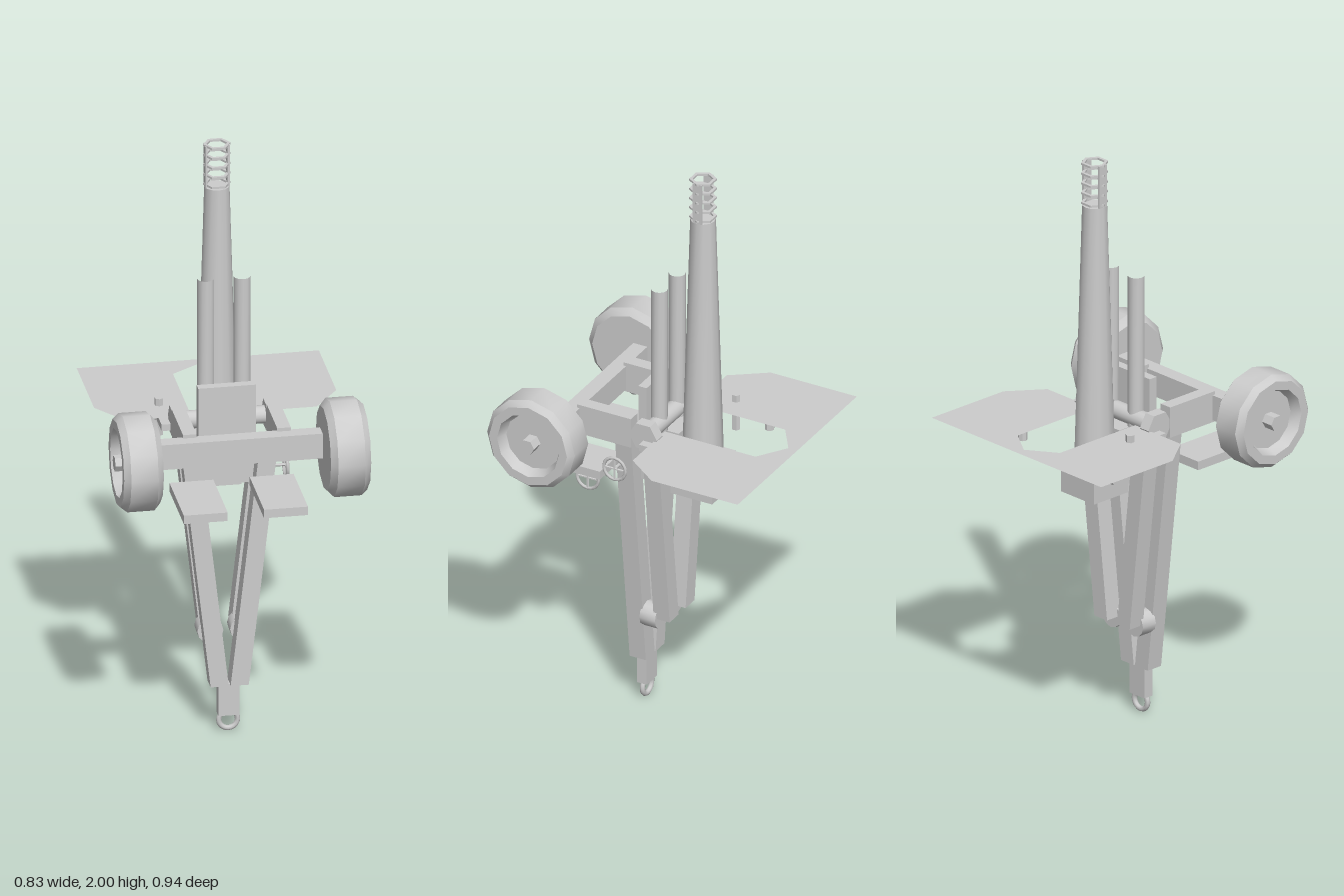
import * as THREE from 'three';
import { toCreasedNormals } from 'three/addons/utils/BufferGeometryUtils.js';

export function createModel() {
  const model = new THREE.Group();
  model.name = 'towedGun';
  const grey = new THREE.MeshStandardMaterial({ color: 0xcccccc });
  grey.name = 'grey';
  const thinGrey = grey.clone();
  thinGrey.side = THREE.DoubleSide;
  thinGrey.name = 'grey sheet';

  const add = (name, geometry, parent = model, material = grey) => {
    const mesh = new THREE.Mesh(geometry, material);
    mesh.name = name;
    parent.add(mesh);
    return mesh;
  };
  // box given by its limits on each axis
  const box = (name, [x0, x1], [y0, y1], [z0, z1], parent) => {
    const g = new THREE.BoxGeometry(x1 - x0, y1 - y0, z1 - z0);
    g.translate((x0 + x1) / 2, (y0 + y1) / 2, (z0 + z1) / 2);
    return add(name, g, parent);
  };
  // cylinder centred on a point, along a chosen axis
  const rod = (name, axis, r0, r1, length, [x, y, z], sides = 12, open = false, parent) => {
    let g = new THREE.CylinderGeometry(r1, r0, length, sides, 1, open);
    if (axis === 'x') g.rotateZ(-Math.PI / 2);
    if (axis === 'z') g.rotateX(Math.PI / 2);
    g = toCreasedNormals(g, sides > 6 ? 0.7 : 0.3);
    g.translate(x, y, z);
    return add(name, g, parent);
  };
  const outline = (points) => new THREE.Shape(points.map(([x, y]) => new THREE.Vector2(x, y)));

  // barrel and breech
  rod('barrel', 'y', 0.068, 0.042, 0.89, [0, 1.405, -0.12]);
  box('breechBlock', [-0.078, 0.078], [0.835, 0.96], [-0.197, -0.043]);
  rod('breechHandle', 'x', 0.011, 0.011, 0.03, [-0.088, 0.9, -0.124], 8);

  // muzzle brake: stacked hexagonal rings held by two side strips
  const hexagon = (r) => Array.from({ length: 6 }, (_, i) =>
    [r * Math.cos(i * Math.PI / 3), r * Math.sin(i * Math.PI / 3)]);
  const ringShape = outline(hexagon(0.045));
  ringShape.holes.push(outline(hexagon(0.034)));
  for (let i = 0; i < 5; i++) {
    const g = new THREE.ExtrudeGeometry(ringShape, { depth: 0.007, bevelEnabled: false });
    g.rotateX(-Math.PI / 2);
    g.translate(0, 1.855 + i * 0.0345, -0.12);
    add('muzzleRing', g);
  }
  for (const s of [-1, 1]) {
    const strip = box('muzzleStrip', [-0.004, 0.004], [1.85, 1.998], [-0.137, -0.103]);
    strip.position.x = s * 0.037;
  }

  // cradle and recoil tubes
  box('cradlePlate', [-0.095, 0.095], [0.87, 1.215], [0.037, 0.068]);
  box('cradleBlock', [-0.054, 0.054], [0.85, 1.05], [-0.06, 0.037]);
  rod('trunnionBar', 'x', 0.03, 0.03, 0.28, [0, 1.08, 0.006], 16);
  for (const s of [-1, 1]) {
    rod('recoilTube', 'y', 0.028, 0.028, 0.66, [s * 0.06, 1.25, 0.009], 12, true);
    rod('trunnionHub', 'x', 0.052, 0.052, 0.04, [s * 0.155, 1.08, 0.007], 6);
  }

  // axle, arms and seats
  box('axle', [-0.28, 0.28], [1.037, 1.125], [0.24, 0.292]);
  for (const s of [-1, 1]) {
    const side = (a, b) => (s > 0 ? [a, b] : [-b, -a]);
    box('axleArm', side(0.133, 0.178), [1.03, 1.137], [0.05, 0.25]);
    box('seat', side(0.06, 0.205), [0.895, 0.925], [0.15, 0.415]);
  }

  // wheels
  const tyreProfile = [
    [0, -0.066], [0.14, -0.066], [0.163, -0.045], [0.163, 0.045],
    [0.145, 0.066], [0.115, 0.066], [0.1, 0.03], [0, 0.03],
  ].map(([r, y]) => new THREE.Vector2(r, y));
  for (const s of [-1, 1]) {
    const wheel = new THREE.Group();
    wheel.name = s > 0 ? 'leftWheel' : 'rightWheel';
    const g = new THREE.LatheGeometry(tyreProfile, 12);
    g.rotateZ(-Math.PI / 2);
    add('tyre', toCreasedNormals(g, 0.6), wheel);
    rod('wheelHub', 'x', 0.027, 0.027, 0.055, [0.046, 0, 0], 6, false, wheel);
    wheel.position.set(s * 0.342, 1.08, 0.305);
    if (s < 0) wheel.rotation.y = Math.PI;
    model.add(wheel);
  }

  // trail legs: two long front ones, two shorter rear ones, same splay
  const legX = (y) => 0.033 + (y - 0.17) * 0.114;
  const leg = (name, s, y0, y1, z0, z1) => {
    const w = 0.03;
    const shape = outline([
      [s * (legX(y0) - w), y0], [s * (legX(y0) + w), y0],
      [s * (legX(y1) + w), y1], [s * (legX(y1) - w), y1],
    ]);
    const g = new THREE.ExtrudeGeometry(shape, { depth: z1 - z0, bevelEnabled: false });
    g.translate(0, 0, z0);
    add(name, g);
  };
  for (const s of [-1, 1]) {
    leg('frontTrailLeg', s, 0.17, 1.027, 0.058, 0.118);
    leg('rearTrailLeg', s, 0.35, 0.995, -0.042, 0.017);
    rod('trailPivot', 'z', 0.043, 0.043, 0.058, [s * 0.054, 0.347, 0.034], 12);
  }

  // towing eye
  box('towBlock', [-0.035, 0.035], [0.06, 0.172], [0.07, 0.106]);
  const eye = add('towEye', new THREE.TorusGeometry(0.031, 0.009, 8, 20));
  eye.position.set(0, 0.04, 0.088);

  // shield lying flat, notched around the barrel
  const half = [[0.1, -0.37], [0.1, -0.033], [0.315, -0.033], [0.4, -0.15], [0.4, -0.47]];
  const shieldShape = outline([
    [0, 0.437], ...half.map(([x, z]) => [x, -z]),
    ...half.map(([x, z]) => [-x, -z]).reverse(),
  ]);
  const shieldGeometry = new THREE.ShapeGeometry(shieldShape);
  shieldGeometry.rotateX(-Math.PI / 2);
  shieldGeometry.translate(0, 1.075, 0);
  add('shield', shieldGeometry, model, thinGrey);
  for (const s of [-1, 1]) {
    const x = s * 0.19;
    box('shieldBar', [x - 0.015, x + 0.015], [1.045, 1.068], [-0.39, 0.005]);
    rod('shieldPost', 'y', 0.016, 0.016, 0.045, [x, 1.025, -0.262], 8);
  }
  rod('sight', 'y', 0.015, 0.015, 0.13, [-0.188, 1.035, -0.139], 6);

  // aiming handwheels on the left side
  for (const [y, z] of [[0.94, 0.105], [0.88, 0.205]]) {
    const hand = new THREE.Group();
    hand.name = 'handwheel';
    const rim = new THREE.TorusGeometry(0.04, 0.006, 6, 16);
    rim.rotateY(Math.PI / 2);
    add('handwheelRim', rim, hand);
    rod('spokeUpright', 'y', 0.004, 0.004, 0.08, [0, 0, 0], 6, false, hand);
    rod('spokeLevel', 'z', 0.004, 0.004, 0.08, [0, 0, 0], 6, false, hand);
    rod('handwheelShaft', 'x', 0.005, 0.005, 0.07, [-0.035, 0, 0], 6, false, hand);
    hand.position.set(0.187, y, z);
    model.add(hand);
  }

  return model;
}
